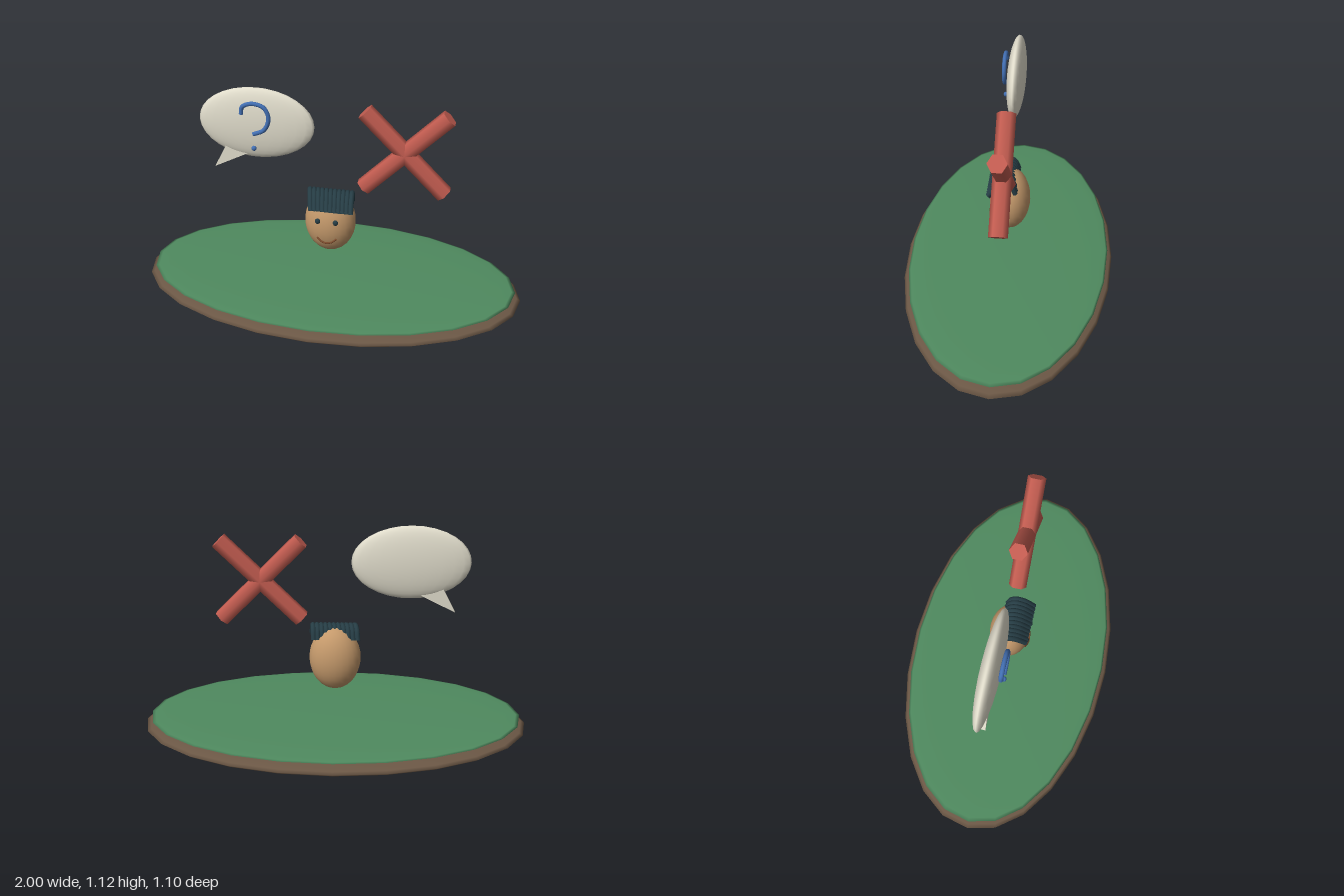
import * as THREE from 'three';

const mat = (color) => new THREE.MeshStandardMaterial({ color, side: THREE.DoubleSide });
const V = (x, y, z) => new THREE.Vector3(x, y, z);

export function createModel() {
  const model = new THREE.Group();
  const earth = mat(0x6b5745), grass = mat(0x4f8a5f), skin = mat(0xc4996b), dark = mat(0x263d45);
  const lip = mat(0x7a4a2c), paper = mat(0xe0dccb), blue = mat(0x426fb3), red = mat(0xc25c50);

  const add = (name, geometry, material, parent = model) => {
    const mesh = new THREE.Mesh(geometry, material);
    mesh.name = name;
    parent.add(mesh);
    return mesh;
  };
  const ellipsoid = (name, material, pos, radii, parent, w = 24, h = 16) => {
    const mesh = add(name, new THREE.SphereGeometry(1, w, h), material, parent);
    mesh.position.set(...pos);
    mesh.scale.set(...radii);
    return mesh;
  };
  const tube = (name, material, points, radius, parent, segments = 20) =>
    add(name, new THREE.TubeGeometry(new THREE.CatmullRomCurve3(points), segments, radius, 8), material, parent);
  const group = (name) => {
    const g = new THREE.Group();
    g.name = name;
    model.add(g);
    return g;
  };

  // Flattened oval ground
  ellipsoid('groundBase', earth, [0, 0.06, 0], [1, 0.06, 0.55]);
  ellipsoid('groundTop', grass, [0, 0.105, 0], [0.97, 0.017, 0.525]);

  // Floating head with face
  const head = group('head');
  ellipsoid('skull', skin, [0, 0.427, 0], [0.132, 0.17, 0.105], head);
  for (const s of [-1, 1]) {
    ellipsoid(s > 0 ? 'leftEye' : 'rightEye', dark, [s * 0.046, 0.467, 0.1], [0.014, 0.015, 0.01], head, 12, 8);
  }
  tube('mouth', lip, [V(-0.05, 0.368, 0.093), V(-0.025, 0.35, 0.1), V(0, 0.345, 0.103),
    V(0.025, 0.35, 0.1), V(0.05, 0.368, 0.093)], 0.005, head);

  // Hair strands, combed from back to fringe and leaning sideways
  const hair = group('hair');
  const profile = [[-0.036, 0.534], [-0.016, 0.583], [0.01, 0.598], [0.05, 0.582], [0.1, 0.526]];
  const count = 11;
  for (let i = 0; i < count; i++) {
    const t = i / (count - 1);
    const back = THREE.MathUtils.lerp(-0.115, 0.108, t);
    const front = THREE.MathUtils.lerp(-0.082, 0.122, t);
    tube('hairStrand', dark, profile.map(([z, y]) =>
      V(THREE.MathUtils.mapLinear(z, -0.036, 0.1, back, front), y, z)), 0.0135, hair, 16);
  }

  // Speech bubble with a flat triangular tail
  const bubble = group('speechBubble');
  ellipsoid('bubbleBody', paper, [-0.375, 0.935, 0], [0.295, 0.185, 0.047], bubble);
  const tail = new THREE.Shape([[-0.6, 0.683], [-0.4, 0.783], [-0.42, 0.82], [-0.535, 0.805]]
    .map(([x, y]) => new THREE.Vector2(x, y)));
  add('bubbleTail', new THREE.ExtrudeGeometry(tail, { depth: 0.04, bevelEnabled: false })
    .translate(0, 0, -0.02), paper, bubble);

  // Question mark on the bubble
  const hook = [[-0.433, 1.0], [-0.425, 1.038], [-0.375, 1.058], [-0.315, 1.04],
    [-0.295, 0.985], [-0.32, 0.925], [-0.375, 0.898]];
  tube('questionHook', blue, hook.map(([x, y]) => V(x, y, 0.059)), 0.011, bubble, 32);
  ellipsoid('questionDot', blue, [-0.375, 0.822, 0.059], [0.013, 0.013, 0.011], bubble, 12, 8);

  // Cross made of two hexagonal bars
  const cross = group('cross');
  for (const s of [-1, 1]) {
    const bar = add('crossBar', new THREE.CylinderGeometry(0.045, 0.045, 0.57, 6), red, cross);
    bar.position.set(0.37, 0.84, 0);
    bar.rotation.z = s * Math.PI / 4;
  }
  return model;
}
